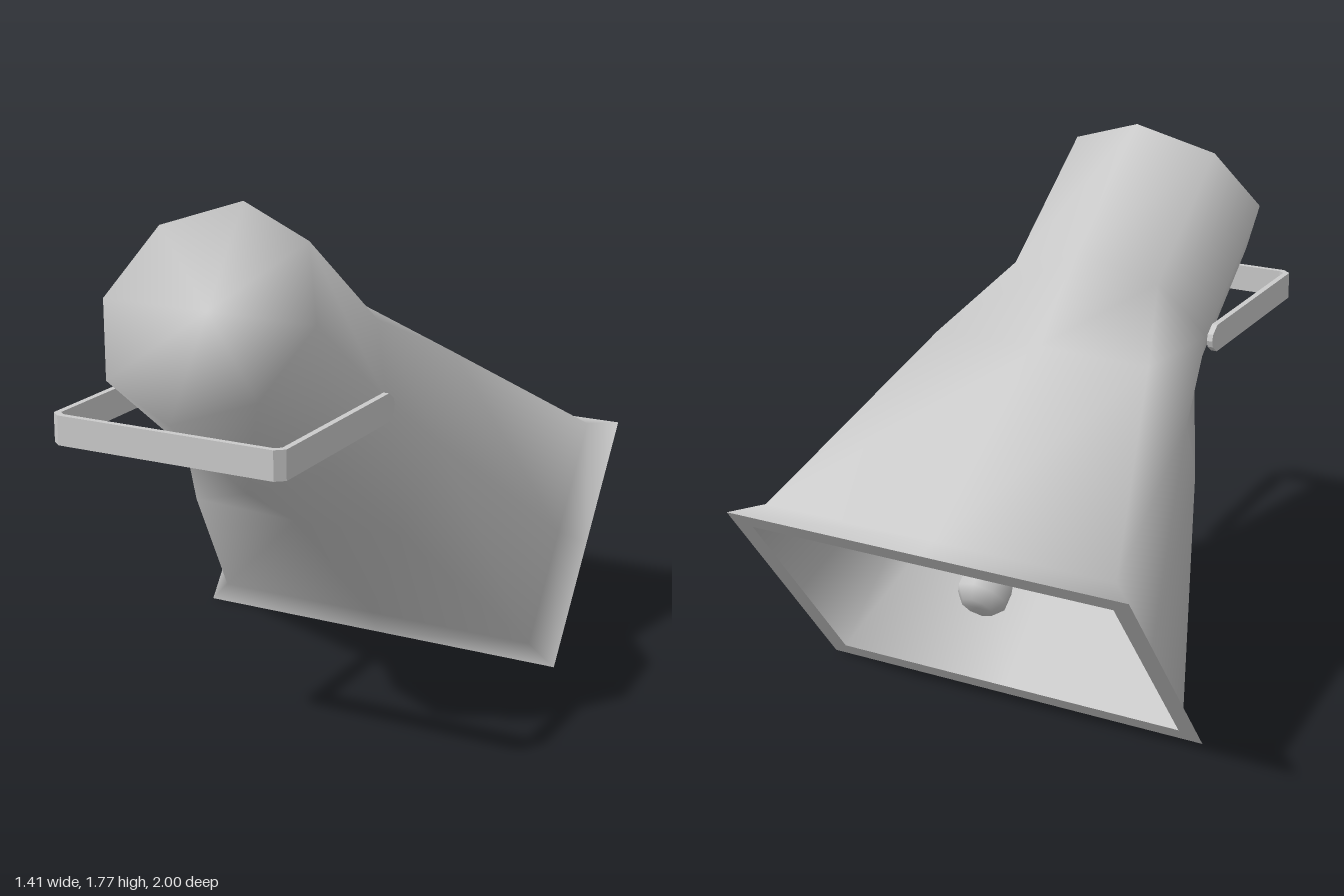
import * as THREE from 'three';

const grey = () => new THREE.MeshStandardMaterial({ color: 0xcccccc });

function named(name, geometry) {
  const mesh = new THREE.Mesh(geometry, grey());
  mesh.name = name;
  return mesh;
}

// Eight-sided section: side reach a, top reach b, diagonal corner (c, d), at depth s
function section([s, a, b, c, d]) {
  return [
    [a, 0, s], [c, d, s], [0, b, s], [-c, d, s],
    [-a, 0, s], [-c, -d, s], [0, -b, s], [c, -d, s],
  ];
}

// Skin a row of sections and close the last one; flip turns the faces inward
function loft(specs, flip) {
  const points = specs.flatMap(section);
  const index = [];
  const tri = (a, b, c) => (flip ? index.push(a, c, b) : index.push(a, b, c));
  const last = (specs.length - 1) * 8;
  for (let r = 0; r < last; r += 8) {
    for (let i = 0; i < 8; i++) {
      const j = (i + 1) % 8;
      tri(r + i, r + j, r + 8 + j);
      tri(r + i, r + 8 + j, r + 8 + i);
    }
  }
  const centre = points.length;
  points.push([0, 0, specs[specs.length - 1][0]]);
  for (let i = 0; i < 8; i++) tri(last + i, last + ((i + 1) % 8), centre);
  const geo = new THREE.BufferGeometry();
  geo.setAttribute('position', new THREE.Float32BufferAttribute(points.flat(), 3));
  geo.setIndex(index);
  geo.computeVertexNormals();
  return geo;
}

const rectangle = (w, h) => [[-w, -h], [w, -h], [w, h], [-w, h]].map(([x, y]) => new THREE.Vector2(x, y));
const polygon = (pts) => new THREE.Shape(pts.map(([x, y]) => new THREE.Vector2(x, y)));

export function createModel() {
  const model = new THREE.Group();
  model.name = 'hornSpeaker';

  // Tilted horn: local z runs along the axis from the mouth to the rear cap
  const horn = new THREE.Group();
  horn.name = 'horn';
  horn.position.set(0, 0.38, -0.717);
  horn.rotation.x = -Math.asin(0.6);
  model.add(horn);

  horn.add(named('hornShell', loft([
    [0, 0.705, 0.474, 0.705, 0.474],
    [0.08, 0.62, 0.425, 0.62, 0.425],
    [0.88, 0.44, 0.345, 0.39, 0.33],
    [1.245, 0.38, 0.382, 0.268, 0.268],
    [1.815, 0.375, 0.375, 0.265, 0.265],
  ], false)));

  horn.add(named('hornInterior', loft([
    [0, 0.637, 0.408, 0.637, 0.408],
    [0.8, 0.4, 0.31, 0.34, 0.28],
    [1.2, 0.33, 0.33, 0.233, 0.233],
  ], true)));

  // Flat frame around the mouth
  const rimShape = new THREE.Shape(rectangle(0.705, 0.474));
  rimShape.holes.push(new THREE.Path(rectangle(0.637, 0.408)));
  horn.add(named('mouthRim', new THREE.ShapeGeometry(rimShape).rotateY(Math.PI)));

  // Central plug with a rounded tip
  const plugProfile = [[0, 0.08], [0.055, 0.08], [0.088, 0.12], [0.088, 0.18], [0.07, 0.24], [0.1, 1.2]]
    .map(([r, s]) => new THREE.Vector2(r, s));
  horn.add(named('centrePlug', new THREE.LatheGeometry(plugProfile, 8).rotateX(Math.PI / 2)));

  // U-shaped mounting bracket: strap outline in x and z, raised upward
  const bracket = new THREE.Group();
  bracket.name = 'bracket';
  model.add(bracket);
  const strap = polygon([
    [-0.405, 0.31], [-0.385, 0.31], [-0.385, 0.965], [-0.365, 0.98],
    [0.365, 0.98], [0.385, 0.965], [0.385, 0.31], [0.405, 0.31],
    [0.405, 0.975], [0.375, 1], [-0.375, 1], [-0.405, 0.975],
  ]);
  const strapGeo = new THREE.ExtrudeGeometry(strap, { depth: 0.095, bevelEnabled: false });
  strapGeo.rotateX(Math.PI / 2).translate(0, 1.16, 0);
  bracket.add(named('bracketStrap', strapGeo));

  // Chamfered arm ends, outline in z and y
  const tip = polygon([[-0.31, 1.065], [-0.275, 1.09], [-0.268, 1.1125], [-0.275, 1.135], [-0.31, 1.16]]);
  for (const side of [1, -1]) {
    const geo = new THREE.ExtrudeGeometry(tip, { depth: 0.02, bevelEnabled: false });
    geo.rotateY(Math.PI / 2).translate(side * 0.395 - 0.01, 0, 0);
    bracket.add(named(side > 0 ? 'leftArmEnd' : 'rightArmEnd', geo));
  }

  return model;
}
